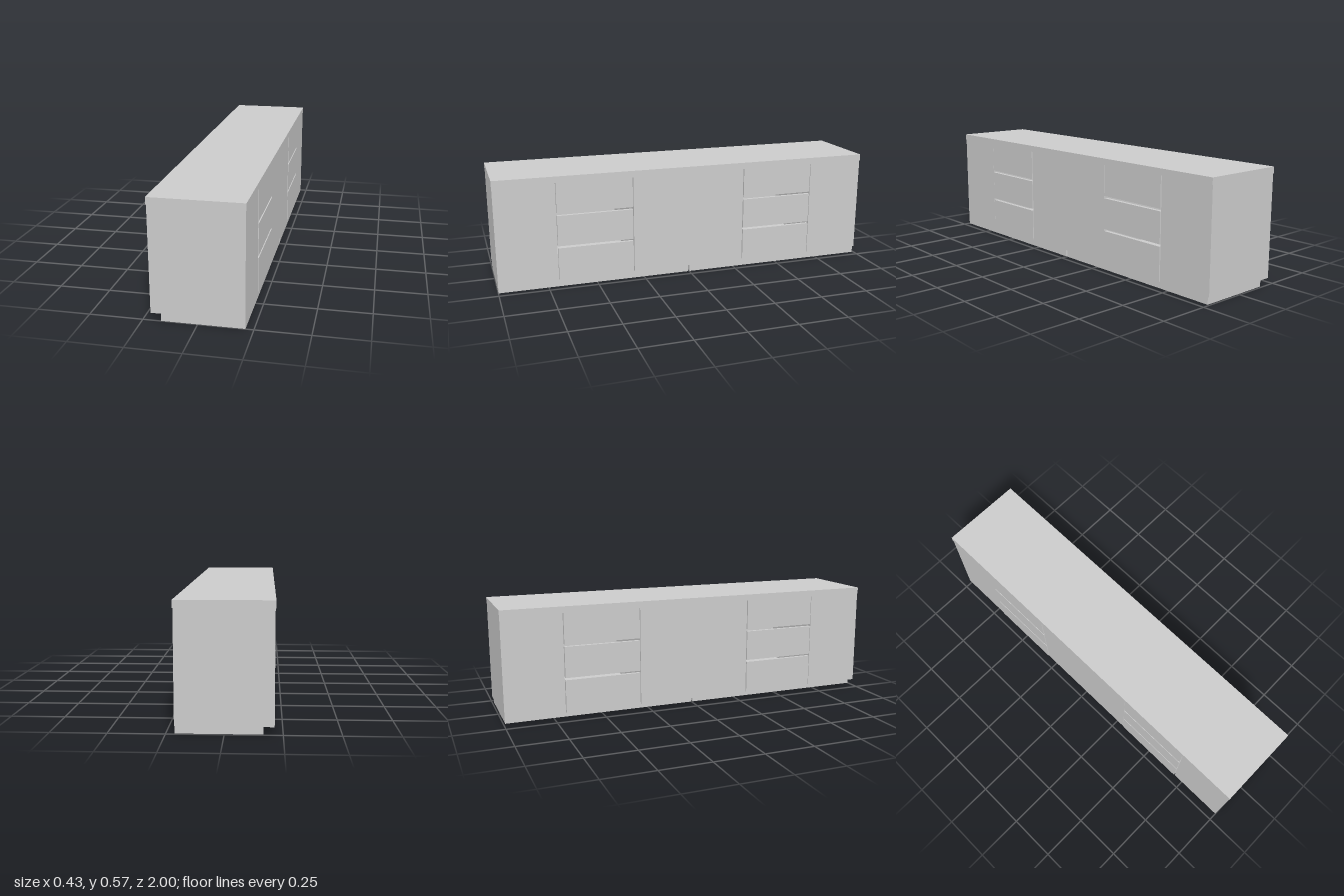
import * as THREE from 'three';

const material = new THREE.MeshStandardMaterial({ color: 0xcccccc });

// Box given by its lower and upper limits on each axis
function box(parent, name, [x0, x1], [y0, y1], [z0, z1]) {
  const mesh = new THREE.Mesh(new THREE.BoxGeometry(x1 - x0, y1 - y0, z1 - z0), material);
  mesh.name = name;
  mesh.position.set((x0 + x1) / 2, (y0 + y1) / 2, (z0 + z1) / 2);
  parent.add(mesh);
  return mesh;
}

export function createModel() {
  const group = new THREE.Group();
  group.name = 'sideboard';

  const BASE = 0.035, TOP = 0.54, HEIGHT = 0.573;
  const BODY = 0.2135, FRONT = 0.2155, EDGE = 0.2165;

  // Worktop, slightly proud of the cabinets
  box(group, 'worktop', [-EDGE, EDGE], [TOP, HEIGHT], [-1, 1]);

  // Two plinths with a narrow gap between them
  box(group, 'frontPlinth', [-0.166, 0.2125], [0, BASE], [0.008, 0.999]);
  box(group, 'backPlinth', [-0.166, 0.2125], [0, BASE], [-0.991, -0.003]);

  // Closed cabinets at both ends and in the middle
  box(group, 'middleCabinet', [-BODY, BODY], [BASE, TOP], [-0.301, 0.301]);
  for (const s of [-1, 1]) {
    const z = [s * 0.698, s * 0.999].sort((a, b) => a - b);
    box(group, 'endCabinet', [-BODY, BODY], [BASE, TOP], z);
  }

  // Two open drawer bays with slots between the drawer fronts
  const rows = [[BASE, 0.203], [0.214, 0.372], [0.384, TOP]];
  for (const s of [-1, 1]) {
    const bay = new THREE.Group();
    bay.name = 'drawerBay';
    bay.position.z = s * 0.4995;
    group.add(bay);
    box(bay, 'bayFloor', [-0.19, 0.19], [BASE, 0.11], [-0.1985, 0.1985]);
    for (const row of rows) {
      box(bay, 'rightDrawerFront', [FRONT - 0.018, FRONT], row, [-0.1945, 0.1945]);
      box(bay, 'leftDrawerFront', [-FRONT, 0.018 - FRONT], row, [-0.1945, 0.1945]);
    }
  }
  return group;
}
